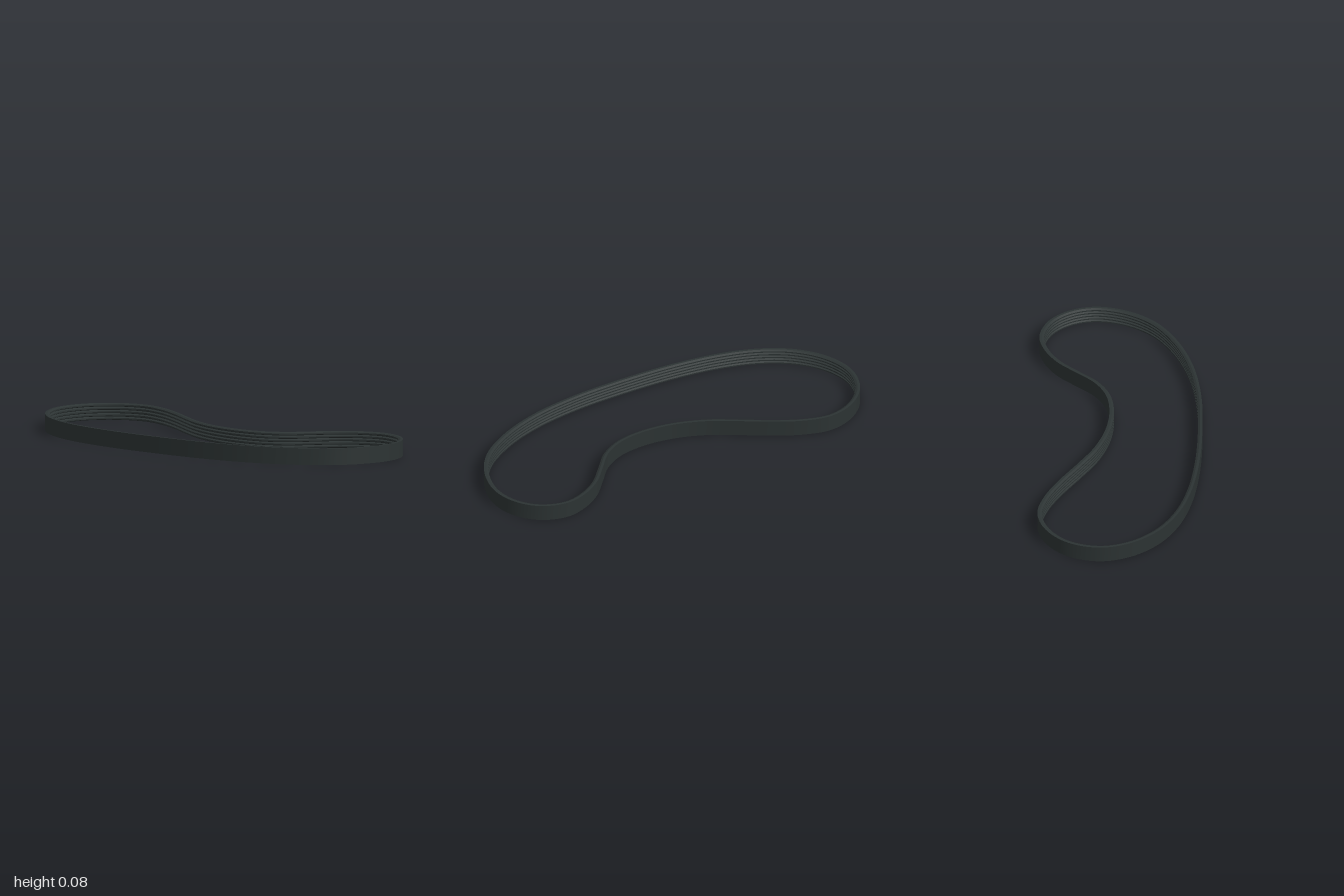
import * as THREE from 'three';

const HEIGHT = 0.08, HALF = 0.011, RIBS = 5, STEPS = 320;

// Centreline of the belt loop as [x, z], starting at the back and running via the left side
const PATH = [
  [0.09, -0.987], [0.24, -0.947], [0.341, -0.845], [0.38, -0.714], [0.348, -0.58],
  [0.278, -0.444], [0.193, -0.31], [0.114, -0.175], [0.061, -0.026], [0.042, 0.132],
  [0.061, 0.27], [0.119, 0.376], [0.209, 0.46], [0.298, 0.545], [0.358, 0.646],
  [0.38, 0.751], [0.338, 0.872], [0.246, 0.953], [0.124, 0.985], [-0.024, 0.952],
  [-0.156, 0.862], [-0.262, 0.704], [-0.335, 0.503], [-0.373, 0.265], [-0.381, 0],
  [-0.368, -0.285], [-0.331, -0.525], [-0.272, -0.704], [-0.183, -0.845], [-0.056, -0.947],
];

// Cross-section as [outward offset, y]: flat back outside, V-ribs inside
function beltSection() {
  const pts = [[HALF, 0], [HALF, HEIGHT]];
  const pitch = HEIGHT / RIBS, root = -0.001;
  for (let r = 0; r < RIBS; r++) {
    const top = HEIGHT - r * pitch;
    pts.push([root, top], [-HALF, top - pitch * 0.3], [-HALF, top - pitch * 0.7]);
  }
  pts.push([root, 0]);
  return pts;
}

// Sweep the section round the closed path; each section edge is its own smooth strip
function sweep(curve, section) {
  const positions = [], index = [];
  const frames = Array.from({ length: STEPS }, (_, i) => ({
    p: curve.getPointAt(i / STEPS),
    t: curve.getTangentAt(i / STEPS),
  }));
  section.forEach((a, e) => {
    const b = section[(e + 1) % section.length];
    const base = positions.length / 3;
    for (const { p, t } of frames) {
      for (const [n, y] of [a, b]) positions.push(p.x + t.z * n, y, p.z - t.x * n);
    }
    for (let i = 0; i < STEPS; i++) {
      const p = base + i * 2, q = base + ((i + 1) % STEPS) * 2;
      index.push(p, p + 1, q, p + 1, q + 1, q);
    }
  });
  const geometry = new THREE.BufferGeometry();
  geometry.setAttribute('position', new THREE.Float32BufferAttribute(positions, 3));
  geometry.setIndex(index);
  geometry.computeVertexNormals();
  return geometry;
}

export function createModel() {
  const model = new THREE.Group();
  model.name = 'ribbedBelt';
  const curve = new THREE.CatmullRomCurve3(
    PATH.map(([x, z]) => new THREE.Vector3(x, 0, z)), true, 'centripetal');
  curve.arcLengthDivisions = 1200;
  const belt = new THREE.Mesh(
    sweep(curve, beltSection()),
    new THREE.MeshStandardMaterial({ color: 0x2c3333 }));
  belt.name = 'belt';
  model.add(belt);
  return model;
}
